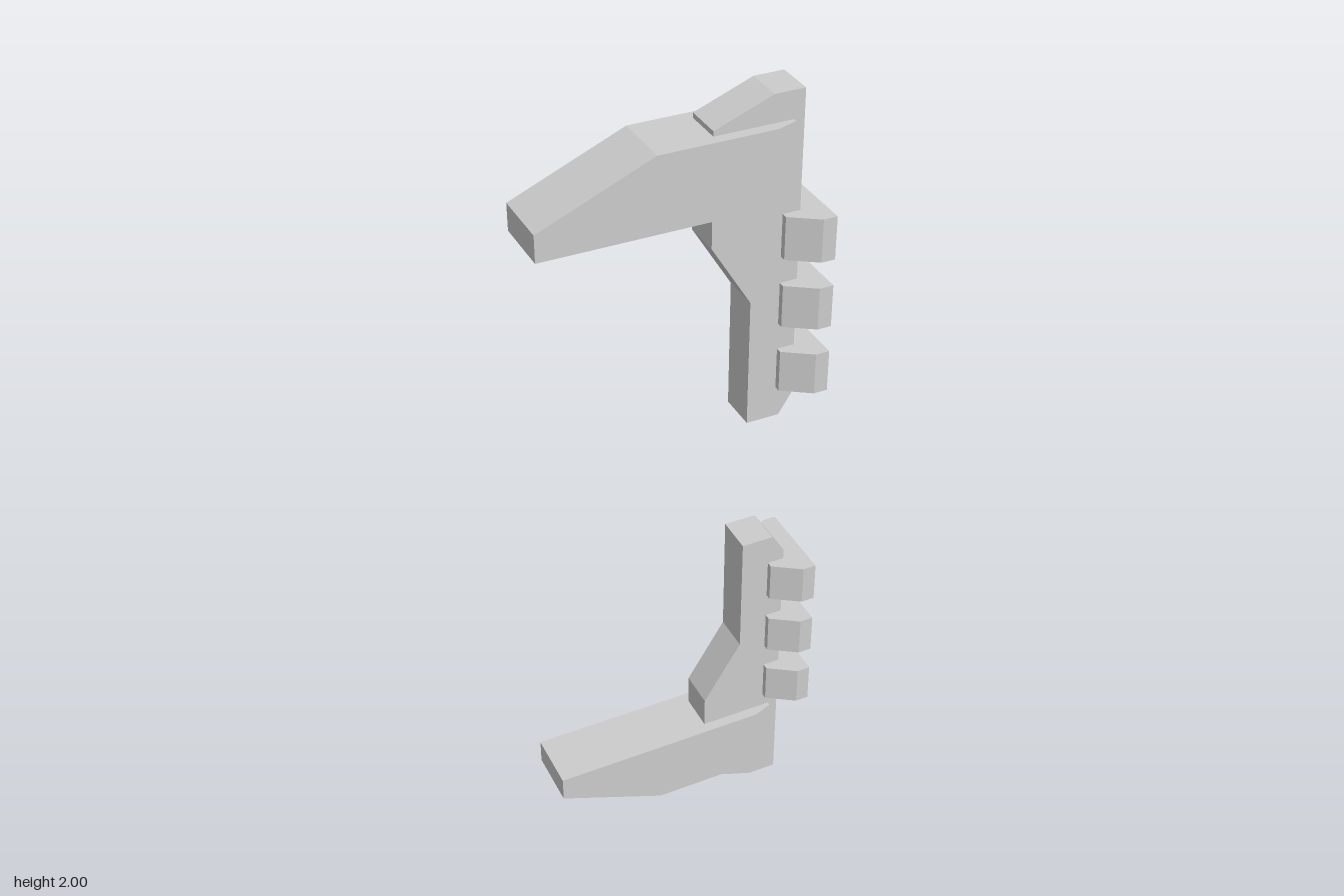
import * as THREE from 'three';

const material = new THREE.MeshStandardMaterial({ color: 0xcccccc, flatShading: true });

function addMesh(parent, name, geometry) {
  const mesh = new THREE.Mesh(geometry, material);
  mesh.name = name;
  parent.add(mesh);
  return mesh;
}

// Solid along x through rectangular stations [x, bottom, top, halfDepth].
function loft(stations) {
  const n = stations.length - 1;
  const box = new THREE.BoxGeometry(n, 2, 2, n, 1, 1);
  const p = box.attributes.position;
  for (let i = 0; i < p.count; i++) {
    const [x, bottom, top, half] = stations[Math.round(p.getX(i) + n / 2)];
    p.setXYZ(i, x, p.getY(i) > 0 ? top : bottom, p.getZ(i) * half);
  }
  const geometry = box.toNonIndexed();
  geometry.computeVertexNormals();
  return geometry;
}

// One bracket: upright spine, tapered arm and three wedge-shaped teeth.
function createBracket(name) {
  const bracket = new THREE.Group();
  bracket.name = name;

  // Spine, a flat plate with chamfered ends
  const depth = 0.096;
  const outline = [
    [0.07, 1.946], [0.07, 1.67], [0.168, 1.51], [0.168, 1.185],
    [0.25, 1.185], [0.283, 1.237], [0.283, 2], [0.21, 2],
  ].map(([x, y]) => new THREE.Vector2(x, y));
  const spine = new THREE.ExtrudeGeometry(new THREE.Shape(outline), { depth, bevelEnabled: false });
  addMesh(bracket, 'spine', spine.translate(0, 0, -depth / 2));

  // Arm, thinning towards its tip and chamfered where it wraps the spine
  addMesh(bracket, 'arm', loft([
    [-0.343, 1.753, 1.818, 0.075],
    [-0.07, 1.753, 1.934, 0.075],
    [0.21, 1.753, 1.934, 0.075],
    [0.258, 1.753, 1.934, 0.057],
  ]));

  // Teeth, flaring outwards across the spine's edge
  for (const y of [1.662, 1.49, 1.317]) {
    const low = y - 0.053, high = y + 0.053;
    addMesh(bracket, 'tooth', loft([
      [0.24, low, high, 0.063],
      [0.308, low, high, 0.108],
      [0.342, low, high, 0.108],
    ]));
  }
  return bracket;
}

export function createModel() {
  const model = new THREE.Group();
  model.name = 'bracketPair';
  model.add(createBracket('upperBracket'));

  // The bracket is symmetric in z, so a half turn gives its mirror image below
  const lower = createBracket('lowerBracket');
  lower.rotation.x = Math.PI;
  lower.position.y = 2;
  model.add(lower);
  return model;
}
